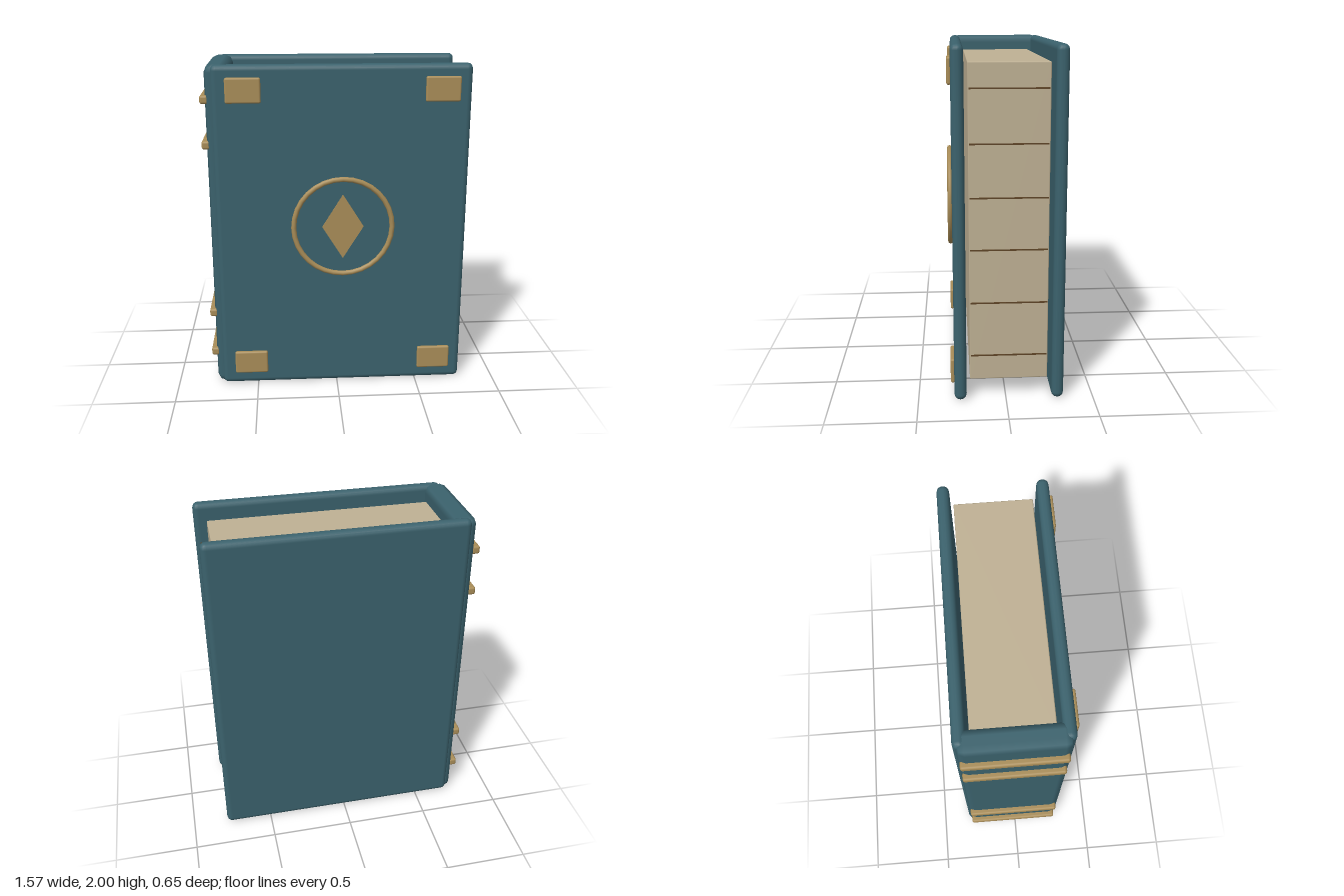
import * as THREE from 'three';
import { RoundedBoxGeometry } from 'three/addons/geometries/RoundedBoxGeometry.js';

const material = (color) => new THREE.MeshStandardMaterial({ color });

export function createModel() {
  const book = new THREE.Group();
  book.name = 'book';
  const leather = material(0x3b626d);
  const gold = material(0xa98d58);
  const paper = material(0xbfb194);
  const ink = material(0x5e4426);

  const add = (name, geometry, mat, x = 0, y = 0, z = 0) => {
    const mesh = new THREE.Mesh(geometry, mat);
    mesh.name = name;
    mesh.position.set(x, y, z);
    book.add(mesh);
    return mesh;
  };

  // Box given by its extents, with bevelled edges when a bevel is set
  const block = (name, mat, [x0, x1], [y0, y1], [z0, z1], bevel = 0, segments = 2) => {
    const size = [x1 - x0, y1 - y0, z1 - z0];
    const geometry = bevel
      ? new RoundedBoxGeometry(...size, segments, bevel)
      : new THREE.BoxGeometry(...size);
    return add(name, geometry, mat, (x0 + x1) / 2, (y0 + y1) / 2, (z0 + z1) / 2);
  };

  // Binding
  block('frontCover', leather, [-0.72, 0.785], [0, 2], [0.225, 0.295], 0.033);
  block('backCover', leather, [-0.72, 0.785], [0, 2], [-0.33, -0.26], 0.033);
  block('spine', leather, [-0.757, -0.62], [0, 2], [-0.315, 0.28], 0.045, 1);

  // Page block, with thin lines along the fore edge
  block('pages', paper, [-0.66, 0.712], [0.1, 1.905], [-0.242, 0.205], 0.006, 1);
  for (const y of [0.267, 0.58, 0.887, 1.18, 1.475, 1.77]) {
    block('pageLine', ink, [0.755, 0.759], [y - 0.004, y + 0.004], [-0.23, 0.2]);
  }

  // Raised bands across the spine
  for (const y of [0.21, 0.475, 1.535, 1.8]) {
    block('spineBand', gold, [-0.788, -0.738], [y - 0.025, y + 0.025], [-0.303, 0.265], 0.014);
  }

  // Corner plates
  for (const x of [-0.538, 0.612]) {
    for (const y of [0.152, 1.857]) {
      block('cornerPlate', gold, [x - 0.102, x + 0.102], [y - 0.073, y + 0.073], [0.289, 0.315], 0.011);
    }
  }

  // Ring and diamond in the middle of the front cover
  add('emblemRing', new THREE.TorusGeometry(0.296, 0.0155, 8, 32), gold, 0.035, 1.035, 0.306);
  const diamond = new THREE.Shape();
  diamond.moveTo(0, -0.2).lineTo(0.125, 0).lineTo(0, 0.2).lineTo(-0.125, 0).closePath();
  add('emblemDiamond', new THREE.ExtrudeGeometry(diamond, { depth: 0.012, bevelEnabled: false }),
    gold, 0.035, 1.035, 0.288);

  return book;
}
